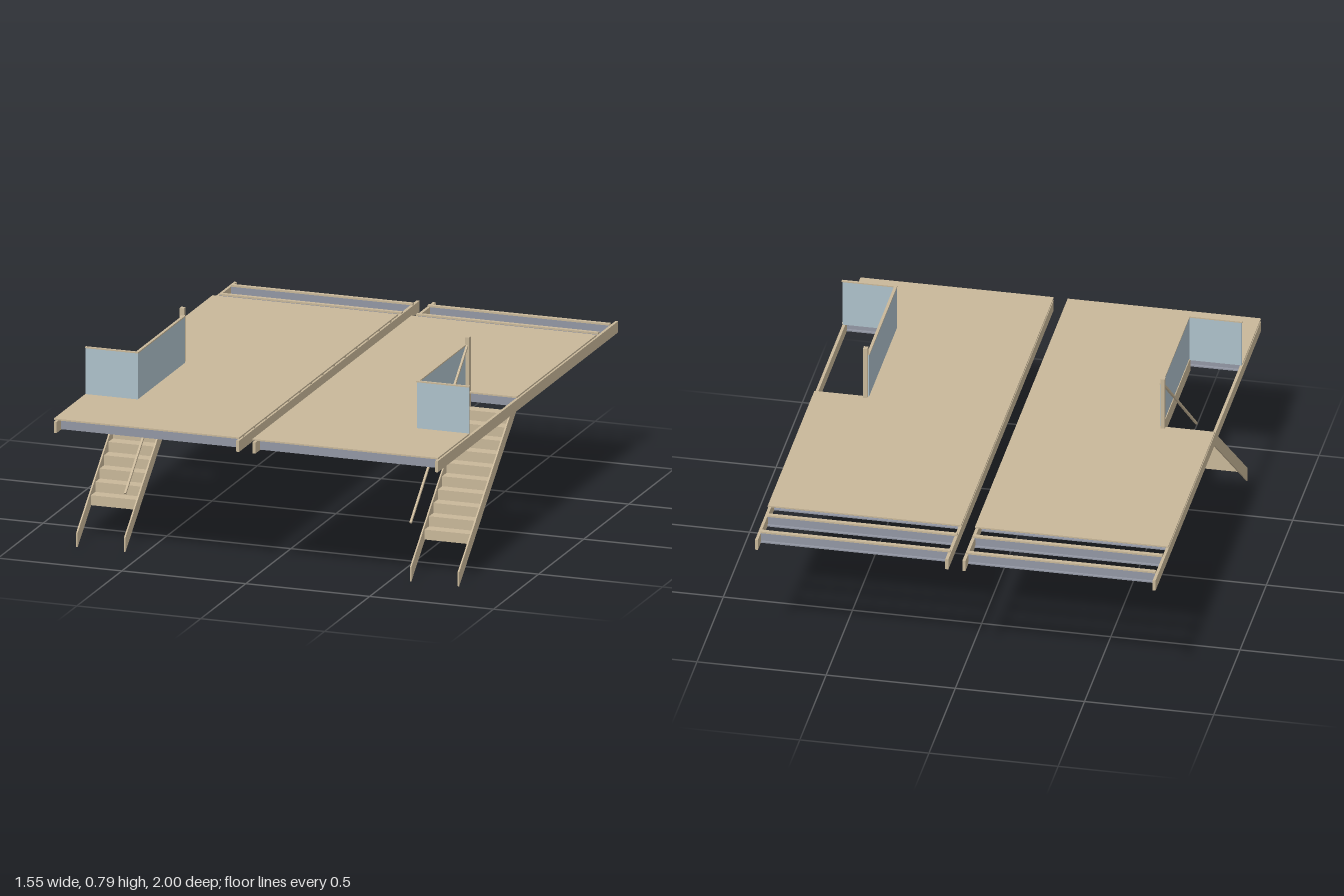
import * as THREE from 'three';

const timber = new THREE.MeshStandardMaterial({ color: 0xc8b799 });
timber.name = 'timber';
const steel = new THREE.MeshStandardMaterial({ color: 0x9296a3 });
steel.name = 'steel';
const glass = new THREE.MeshStandardMaterial({ color: 0xadc0ca });
glass.name = 'glass';

export function createModel() {
  const root = new THREE.Group();
  root.name = 'twinDecks';
  for (const side of [1, -1]) root.add(createDeck(side));
  return root;
}

// One deck with its stair; side = 1 for +x, -1 for the mirrored copy
function createDeck(side) {
  const deck = new THREE.Group();
  deck.name = side > 0 ? 'leftDeck' : 'rightDeck';

  // Box given by its minimum and maximum on each axis
  const box = (name, mat, x0, x1, y0, y1, z0, z1) => {
    const mesh = new THREE.Mesh(new THREE.BoxGeometry(x1 - x0, y1 - y0, z1 - z0), mat);
    mesh.position.set(side * (x0 + x1) / 2, (y0 + y1) / 2, (z0 + z1) / 2);
    mesh.name = name;
    deck.add(mesh);
    return mesh;
  };
  const outline = (points) => new THREE.Shape(points.map(([a, b]) => new THREE.Vector2(a, b)));

  // Floor sheet, notched at the stair opening
  const floorShape = outline([
    [0.027, -0.76], [0.775, -0.76], [0.775, 0.125], [0.573, 0.125],
    [0.573, 0.65], [0.775, 0.65], [0.775, 1], [0.027, 1],
  ].map(([x, z]) => [side * x, z]));
  const floorGeo = new THREE.ExtrudeGeometry(floorShape, { depth: 0.006, bevelEnabled: false });
  floorGeo.rotateX(Math.PI / 2);
  const floor = new THREE.Mesh(floorGeo, timber);
  floor.position.y = 0.575;
  floor.name = 'floor';
  deck.add(floor);

  // Long edge beams and the trimmer beside the opening
  box('innerBeam', timber, 0.027, 0.039, 0.518, 0.562, -1, 1);
  box('outerBeam', timber, 0.764, 0.775, 0.518, 0.562, -1, 1);
  box('openingTrimmer', timber, 0.563, 0.573, 0.52, 0.569, 0.125, 0.65);

  // Channel joists with a batten on top, cut short at the opening
  for (let i = 0; i < 16; i++) {
    const z = -0.94 + i * 0.1255;
    const end = z > 0.125 && z < 0.65 ? 0.563 : 0.764;
    box('joistWeb', steel, 0.039, end, 0.52, 0.562, z + 0.002, z + 0.008);
    box('joistBottomFlange', steel, 0.039, end, 0.52, 0.525, z - 0.008, z + 0.002);
    box('joistTopFlange', steel, 0.039, end, 0.557, 0.562, z - 0.008, z + 0.002);
    box('batten', timber, 0.03, end, 0.562, 0.569, z - 0.008, z + 0.008);
  }

  // Stair stringers
  const stringerShape = outline([
    [-0.757, 0], [-0.125, 0.516], [-0.125, 0.52], [-0.19, 0.52], [-0.757, 0.057],
  ]);
  for (const x of [0.577, 0.77]) {
    const geo = new THREE.ExtrudeGeometry(stringerShape, { depth: 0.006, bevelEnabled: false });
    geo.translate(0, 0, -0.003);
    geo.rotateY(Math.PI / 2);
    const stringer = new THREE.Mesh(geo, timber);
    stringer.position.x = side * x;
    stringer.name = 'stringer';
    deck.add(stringer);
  }

  // Treads and risers
  for (let i = 0; i < 10; i++) {
    const z = 0.61 - i * 0.0485;
    const y = 0.125 + i * 0.0393;
    box('riser', timber, 0.58, 0.767, y, y + 0.0393, z - 0.005, z);
    box('tread', timber, 0.58, 0.767, y + 0.034, y + 0.0393, z - 0.0485, z - 0.005);
  }

  // Glass guards with thin caps
  box('sideGlass', glass, 0.563, 0.57, 0.57, 0.757, 0.125, 0.645);
  box('frontGlass', glass, 0.563, 0.773, 0.57, 0.757, 0.645, 0.651);
  box('sideCap', timber, 0.561, 0.572, 0.757, 0.762, 0.125, 0.643);
  box('frontCap', timber, 0.561, 0.775, 0.757, 0.762, 0.643, 0.653);

  // Newel post and sloping handrail
  box('post', timber, 0.567, 0.584, 0.515, 0.79, 0.11, 0.13);
  const rail = box('handrail', timber, 0.572, 0.58, 0.491, 0.499, 0.0285, 0.8515);
  rail.position.z = 0.44;
  rail.rotation.x = Math.atan2(0.53, 0.63);

  return deck;
}
